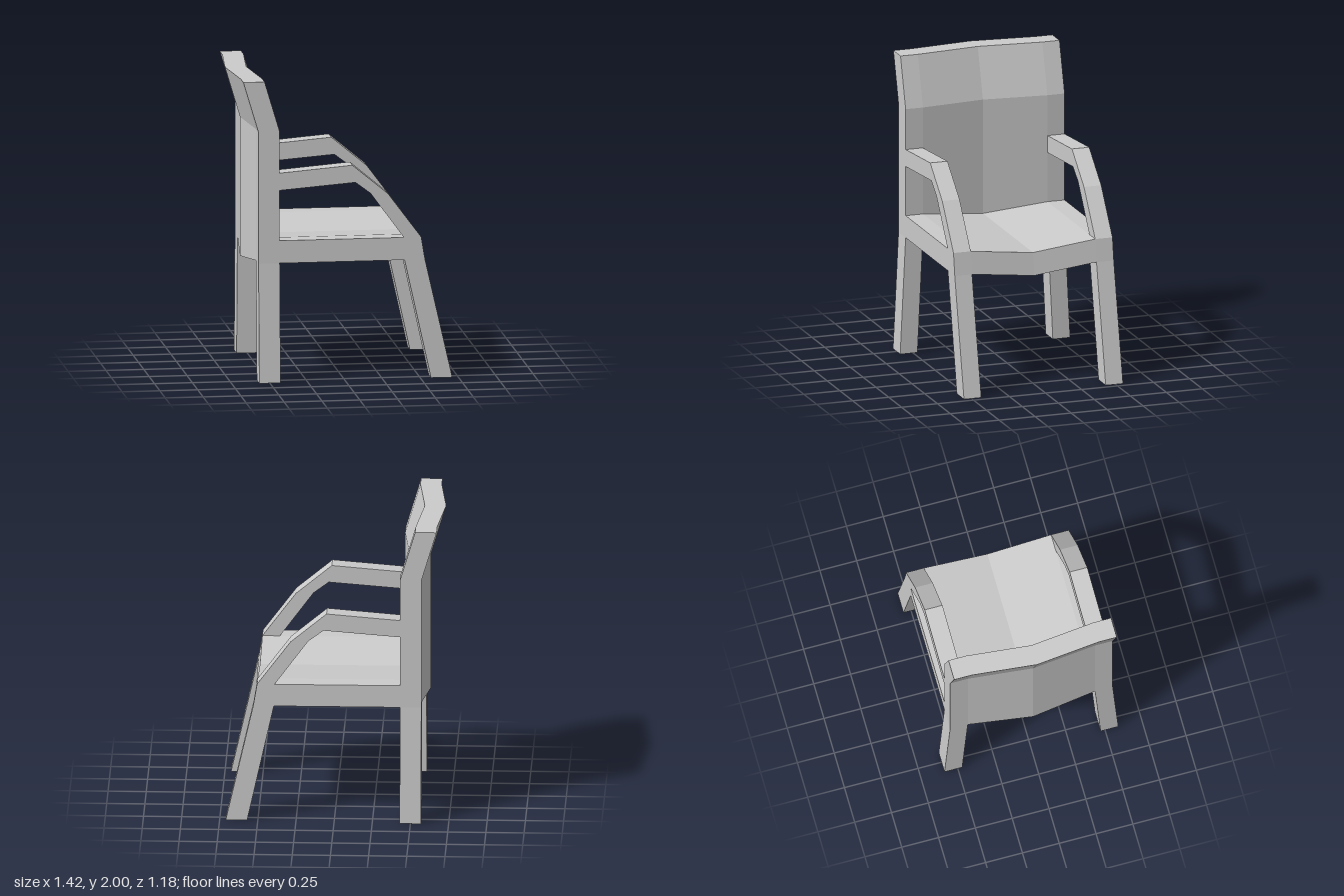
import * as THREE from 'three';

const IN = 0.432, OUT = 0.552; // inner and outer z of the side frames

const path = (pts, Type = THREE.Shape) => new Type(pts.map(([x, y]) => new THREE.Vector2(x, y)));

// Extrude a side profile from z0 over a depth, then move its vertices by a rule
function slab(shape, z0, depth, steps, rule) {
  const g = new THREE.ExtrudeGeometry(shape, { depth, steps, bevelEnabled: false });
  g.translate(0, 0, z0);
  if (rule) {
    const p = g.attributes.position, v = new THREE.Vector3();
    for (let i = 0; i < p.count; i++) {
      rule(v.fromBufferAttribute(p, i));
      p.setXYZ(i, v.x, v.y, v.z);
    }
    g.computeVertexNormals();
  }
  return g;
}

export function createModel() {
  const group = new THREE.Group();
  const grey = new THREE.MeshStandardMaterial({ color: 0xcccccc, flatShading: true });
  grey.name = 'light grey';
  const add = (name, geometry) => {
    const mesh = new THREE.Mesh(geometry, grey);
    mesh.name = name;
    group.add(mesh);
  };

  // Side frame: back post, armrest, seat rail and slanted front leg
  const frame = path([
    [-0.57, 0.79], [0.395, 0.79], [0.57, 0], [0.71, 0], [0.53, 0.79], [0.505, 0.94],
    [0.285, 1.235], [0.05, 1.43], [-0.43, 1.39], [-0.43, 1.665], [-0.53, 2], [-0.67, 2], [-0.57, 1.665],
  ]);
  frame.holes.push(path([[-0.43, 0.94], [-0.43, 1.275], [0.07, 1.315], [0.17, 1.24], [0.39, 0.94]], THREE.Path));

  // Back leg, splayed sideways towards the floor
  const leg = path([[-0.57, 0], [-0.43, 0], [-0.43, 0.79], [-0.57, 0.79]]);

  for (const [side, s] of [['right', 1], ['left', -1]]) {
    const z0 = s > 0 ? IN : -OUT;
    add(side + 'SideFrame', slab(frame, z0, OUT - IN, 1));
    add(side + 'BackLeg', slab(leg, z0, OUT - IN, 1, v => { if (v.y < 0.1) v.z += s * 0.038; }));
  }

  // Seat and back between the frames, folded into a shallow V along the middle
  const fold = v => {
    if (Math.abs(v.z) > 0.01) return;
    if (v.y < 1) v.y -= 0.05;
    if (v.x < 0) v.x -= 0.044;
  };
  const seat = path([[-0.43, 0.79], [0.53, 0.79], [0.505, 0.94], [-0.43, 0.94]]);
  const back = path([[-0.57, 0.79], [-0.43, 0.79], [-0.43, 1.665], [-0.53, 2], [-0.67, 2], [-0.57, 1.665]]);
  add('seat', slab(seat, -IN, 2 * IN, 2, fold));
  add('backrest', slab(back, -IN, 2 * IN, 2, fold));

  return group;
}
